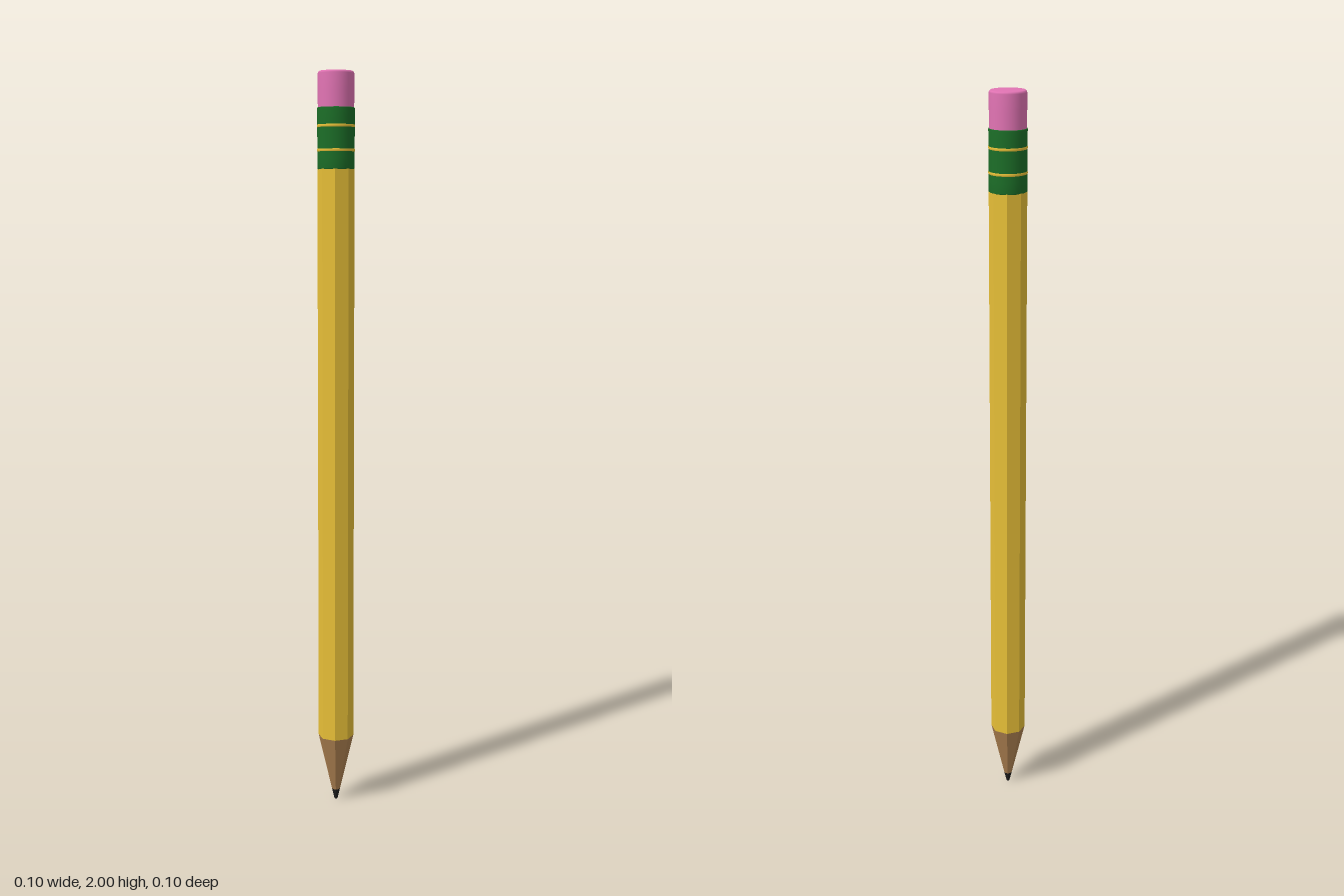
import * as THREE from 'three';

const SIDES = 8;

function mesh(name, geometry, color, flatShading = false) {
  const m = new THREE.Mesh(geometry, new THREE.MeshStandardMaterial({ color, flatShading }));
  m.name = name;
  return m;
}

// Eight-sided section with flats facing front and sides; sizes are half-widths across the flats
function prism(name, top, bottom, y0, y1, color) {
  const k = 1 / Math.cos(Math.PI / SIDES);
  const g = new THREE.CylinderGeometry(top * k, bottom * k, y1 - y0, SIDES);
  g.rotateY(Math.PI / SIDES);
  g.translate(0, (y0 + y1) / 2, 0);
  return mesh(name, g, color, true);
}

// Smooth round part from [radius, y] pairs, listed from bottom to top
function turned(name, points, color) {
  const profile = points.map(([r, y]) => new THREE.Vector2(r, y));
  return mesh(name, new THREE.LatheGeometry(profile, 32), color);
}

export function createModel() {
  const pencil = new THREE.Group();
  pencil.name = 'pencil';

  // Sharpened end and painted shaft
  pencil.add(
    prism('leadTip', 0.0105, 0.004, 0, 0.03, 0x1c1c1c),
    prism('sharpenedWood', 0.045, 0.0105, 0.03, 0.19, 0xac8050),
    prism('shaft', 0.045, 0.045, 0.19, 1.76, 0xe8c038),
  );

  // Ferrule with a closed underside and a rim around the eraser
  pencil.add(turned('ferrule', [
    [0, 1.75], [0.046, 1.75], [0.049, 1.752], [0.049, 1.78],
    [0.049, 1.88], [0.049, 1.906], [0.048, 1.908], [0.04, 1.908],
  ], 0x1c6e28));

  // Raised gold bands
  for (const y of [1.799, 1.861]) {
    const g = new THREE.TorusGeometry(0.046, 0.01, 10, 32);
    g.rotateX(Math.PI / 2);
    g.scale(0.05 / 0.056, 1, 0.05 / 0.056);
    g.translate(0, y, 0);
    pencil.add(mesh('ferruleBand', g, 0xe8c038));
  }

  // Eraser with a flat top and soft edge
  pencil.add(turned('eraser', [
    [0.0475, 1.89], [0.0475, 1.95], [0.0475, 1.994], [0.046, 1.998], [0.043, 2], [0, 2],
  ], 0xe274b4));

  return pencil;
}
